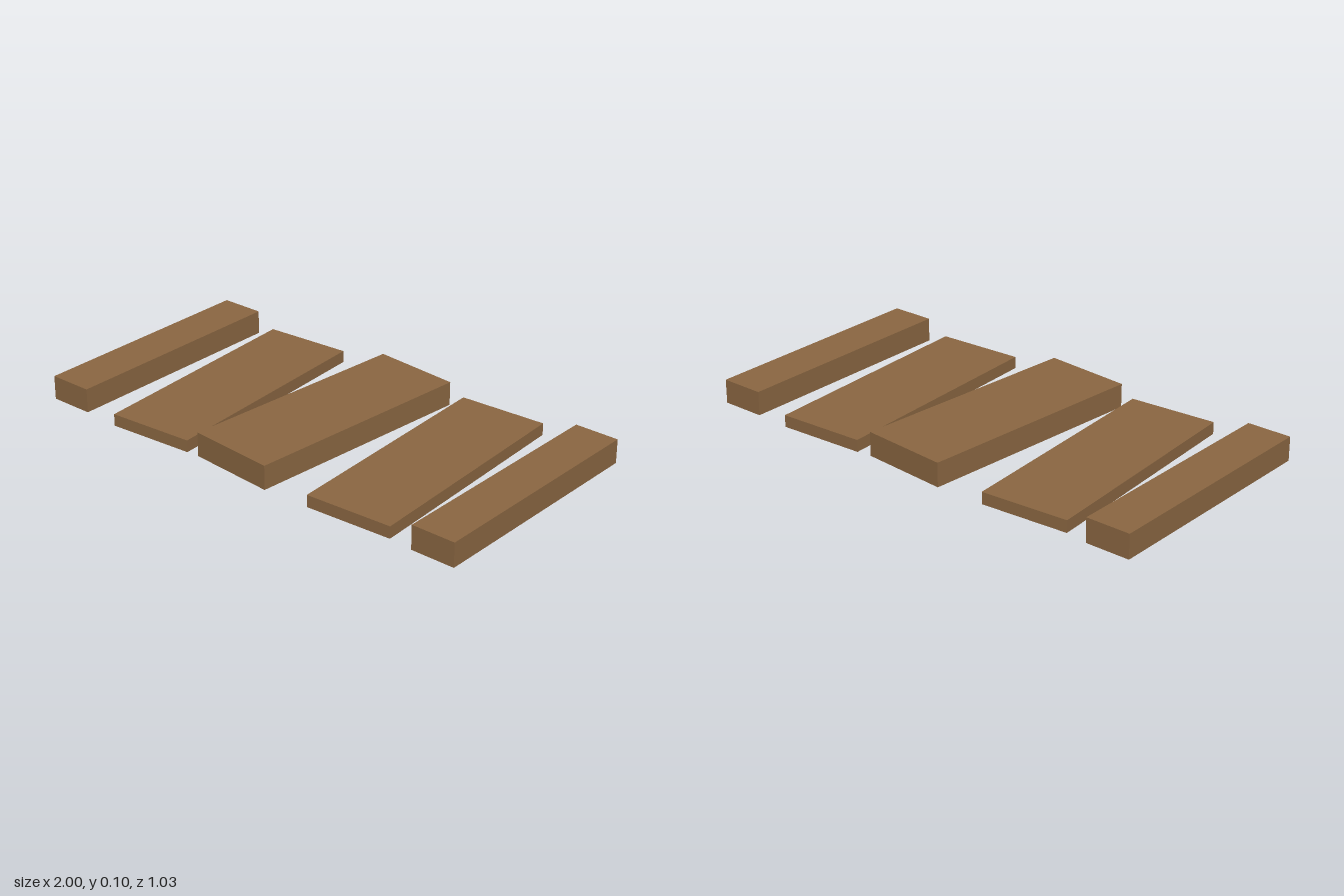
import * as THREE from 'three';

export function createModel() {
  const group = new THREE.Group();
  const wood = new THREE.MeshStandardMaterial({ color: 0x8b6742 });

  // A board lying on the ground, turned by some degrees about the vertical axis
  function board(name, x, width, height, degrees = 0) {
    const mesh = new THREE.Mesh(new THREE.BoxGeometry(width, height, 1), wood);
    mesh.name = name;
    mesh.position.set(x, height / 2, 0);
    mesh.rotation.y = THREE.MathUtils.degToRad(degrees);
    group.add(mesh);
  }

  // Straight beams at both ends
  board('rightBeam', -0.907, 0.186, 0.1);
  board('leftBeam', 0.907, 0.186, 0.1);

  // Crooked planks between them: thin, thick, thin
  board('rightPlank', -0.5, 0.37, 0.05, 4);
  board('middlePlank', 0, 0.37, 0.1, -5);
  board('leftPlank', 0.5, 0.37, 0.05, 3);

  return group;
}
